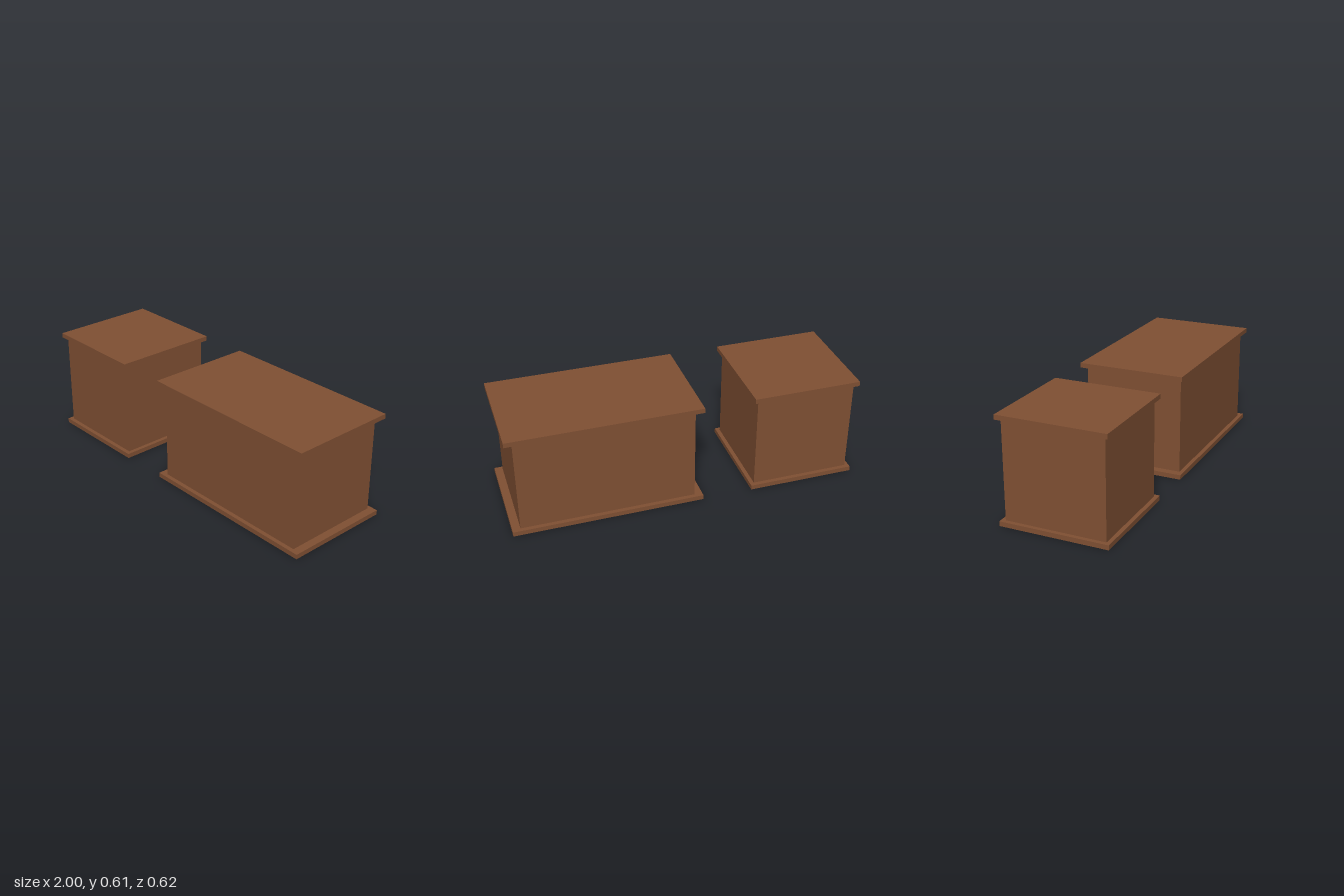
import * as THREE from 'three';

const HEIGHT = 0.609, DEPTH = 0.622, BODY_DEPTH = 0.574, PLATE = 0.027;

const wood = new THREE.MeshStandardMaterial({ color: 0x805033 });

function box(name, width, height, depth, y) {
  const mesh = new THREE.Mesh(new THREE.BoxGeometry(width, height, depth), wood);
  mesh.name = name;
  mesh.position.y = y;
  return mesh;
}

// A plain body between two overhanging plates
function crate(name, x, width, bodyWidth) {
  const group = new THREE.Group();
  group.name = name;
  group.position.x = x;
  group.add(
    box('basePlate', width, PLATE, DEPTH, PLATE / 2),
    box('body', bodyWidth, HEIGHT - 2 * PLATE, BODY_DEPTH, HEIGHT / 2),
    box('topPlate', width, PLATE, DEPTH, HEIGHT - PLATE / 2)
  );
  return group;
}

export function createModel() {
  const model = new THREE.Group();
  model.name = 'crates';
  model.add(
    crate('smallCrate', -0.689, 0.622, 0.574),
    crate('longCrate', 0.4565, 1.087, 0.996)
  );
  return model;
}
